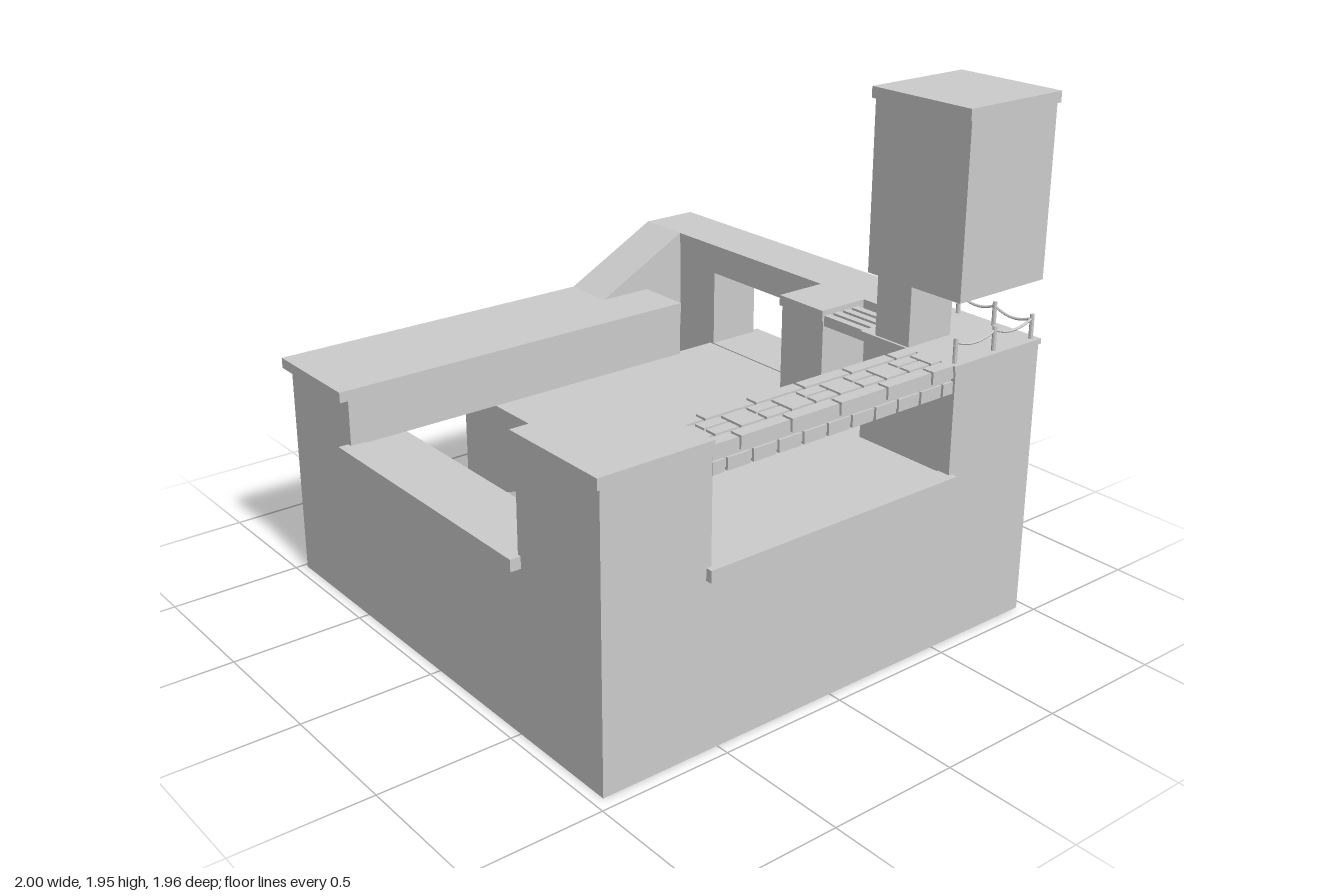
import * as THREE from 'three';

export function createModel() {
  const model = new THREE.Group();
  const grey = new THREE.MeshStandardMaterial({ color: 0xcccccc, flatShading: true });

  function add(name, geometry, parent = model) {
    const mesh = new THREE.Mesh(geometry, grey);
    mesh.name = name;
    parent.add(mesh);
    return mesh;
  }
  // Box given by its extents along each axis
  function box(name, x0, x1, y0, y1, z0, z1, parent) {
    const mesh = add(name, new THREE.BoxGeometry(x1 - x0, y1 - y0, z1 - z0), parent);
    mesh.position.set((x0 + x1) / 2, (y0 + y1) / 2, (z0 + z1) / 2);
    return mesh;
  }
  function extrude(points, depth) {
    const shape = new THREE.Shape(points.map(([a, b]) => new THREE.Vector2(a, b)));
    return new THREE.ExtrudeGeometry(shape, { depth, bevelEnabled: false });
  }
  function group(name) {
    const g = new THREE.Group();
    g.name = name;
    model.add(g);
    return g;
  }

  const floor = 0.66, low = 0.2;

  // Base: solid foot, then a storey with a rear corridor, ramp well and shaft cut out
  box('foot', -0.96, 0.96, 0, low, -0.98, 0.95);
  const plan = [
    [-0.96, 0.95], [0.96, 0.95], [0.96, -0.98], [0.75, -0.98], [0.75, -0.57], [0.56, -0.57],
    [0.56, -0.77], [-0.34, -0.77], [-0.34, 0.3], [-0.73, 0.3], [-0.73, -0.98], [-0.96, -0.98],
  ];
  const storey = extrude(plan.map(([x, z]) => [x, -z]), floor - low);
  storey.rotateX(-Math.PI / 2);
  add('lowerStorey', storey).position.y = low;

  // Ramp rising from the corridor to the terrace
  const ramp = extrude([[0.77, low], [-0.3, low], [-0.3, floor]].map(([a, b]) => [a, b]), 0.39);
  ramp.rotateY(Math.PI / 2);
  add('ramp', ramp).position.x = -0.73;

  // Back wall with flat roof and the sloped parapet climbing to the side wall
  box('backWall', -0.96, 0.56, floor, 0.84, -0.98, -0.55);
  box('backRoof', -0.995, 0.56, 0.84, 0.88, -0.985, -0.545);
  add('slopedParapet', extrude([[0.34, floor], [0.75, floor], [0.75, 1.09], [0.735, 1.09], [0.34, 0.88]], 0.215))
    .position.z = -0.985;

  // Right-hand wall: piers, header and coping around two windows
  const wall = group('sideWall');
  box('rearPier', 0.74, 0.96, floor, 1.05, -0.98, -0.55, wall);
  box('middlePier', 0.53, 0.96, floor, 1.05, 0.09, 0.31, wall);
  box('header', 0.74, 0.96, 0.97, 1.05, -0.55, 0.52, wall);
  box('coping', 0.735, 0.968, 1.05, 1.09, -0.985, 0.53, wall);
  box('pierCoping', 0.525, 0.735, 1.05, 1.09, 0.08, 0.31, wall);

  // Sills
  box('frontSill', -0.555, 0.55, 0.62, 0.664, 0.9, 0.975);
  box('leftSill', -1, -0.9, 0.62, 0.664, -0.57, 0.53);
  box('largeWindowSill', 0.74, 0.998, 0.62, 0.664, -0.57, 0.09);
  box('smallWindowSill', 0.74, 0.998, 0.62, 0.664, 0.31, 0.54);

  // Front corner pillars
  box('leftPillar', -0.96, -0.535, floor, 1.05, 0.515, 0.95);
  box('leftPillarCap', -0.972, -0.53, 1.05, 1.09, 0.505, 0.955);
  box('rightPillar', 0.535, 0.96, floor, 1.05, 0.515, 0.95);
  box('rightPillarDeck', 0.525, 0.968, 1.05, 1.07, 0.505, 0.955);

  // Tower raised on a narrow core above the deck
  box('towerCore', 0.535, 0.745, 1.07, 1.29, 0.57, 0.73);
  box('tower', 0.535, 0.955, 1.29, 1.91, 0.52, 0.95);
  box('towerCap', 0.525, 0.968, 1.91, 1.95, 0.51, 0.955);

  // Upright bars with a small knob
  const screen = group('barScreen');
  for (let i = 0; i < 5; i++) {
    const x = 0.752 + i * 0.046;
    box('bar', x, x + 0.018, 1.07, 1.29, 0.52, 0.532, screen);
  }
  const knob = add('knob', new THREE.SphereGeometry(0.03, 12, 8), screen);
  knob.scale.set(0.8, 1.1, 0.3);
  knob.position.set(0.853, 1.2, 0.517);

  // Slatted roof between the middle pier and the tower pillar
  const slats = group('slats');
  for (let i = 0; i < 4; i++) {
    const x = 0.535 + i * 0.047;
    box('slat', x, x + 0.03, 1.03, 1.07, 0.31, 0.515, slats);
  }

  // Brick beam: recessed core, long edge bricks, short lower bricks, paired top bricks
  const beam = group('brickBeam');
  const gap = 0.006, pitch = 1.06 / 5;
  box('mortar', -0.53, 0.53, 0.978, 1.06, 0.74, 0.937, beam);
  function course(name, offset, step, y0, y1, z0, z1) {
    for (let x = -0.53 + offset - step; x < 0.53; x += step) {
      const a = Math.max(-0.53, x + gap), b = Math.min(0.53, x + step - gap);
      if (b - a > 0.01) box(name, a, b, y0, y1, z0, z1, beam);
    }
  }
  for (const [z0, z1] of [[0.728, 0.776], [0.898, 0.946]]) {
    course('edgeBrick', pitch / 2, pitch, 1.024, 1.07, z0, z1);
    course('lowerBrick', pitch / 4, pitch / 2, 0.968, 1.012, z0, z1);
  }
  course('undersideBrick', pitch / 4, pitch / 2, 0.968, 1.012, 0.788, 0.886);
  for (let i = 0; i < 5; i++) {
    const x = -0.53 + pitch * (i + 0.25);
    const split = x + pitch / 2;
    box('topBrick', x + gap, split - gap, 1.024, 1.07, 0.788, 0.832, beam);
    box('topBrick', x + gap, split - gap, 1.024, 1.07, 0.842, 0.886, beam);
    box('topBrick', split + gap, Math.min(0.53, x + pitch - gap), 1.024, 1.07, 0.788, 0.886, beam);
  }
  box('topBrick', -0.53, -0.53 + pitch / 4 - gap, 1.024, 1.07, 0.788, 0.886, beam);

  // Rope fence along the front and outer edges of the deck
  const fence = group('ropeFence');
  const posts = [[0.55, 0.93], [0.745, 0.93], [0.94, 0.93], [0.94, 0.76], [0.94, 0.59]];
  posts.forEach(([x, z], i) => {
    add('post', new THREE.CylinderGeometry(0.008, 0.008, 0.09, 8), fence).position.set(x, 1.115, z);
    if (i === 0) return;
    const [px, pz] = posts[i - 1];
    const curve = new THREE.QuadraticBezierCurve3(
      new THREE.Vector3(px, 1.145, pz),
      new THREE.Vector3((x + px) / 2, 1.1, (z + pz) / 2),
      new THREE.Vector3(x, 1.145, z));
    add('rope', new THREE.TubeGeometry(curve, 12, 0.005, 6), fence);
  });

  return model;
}
